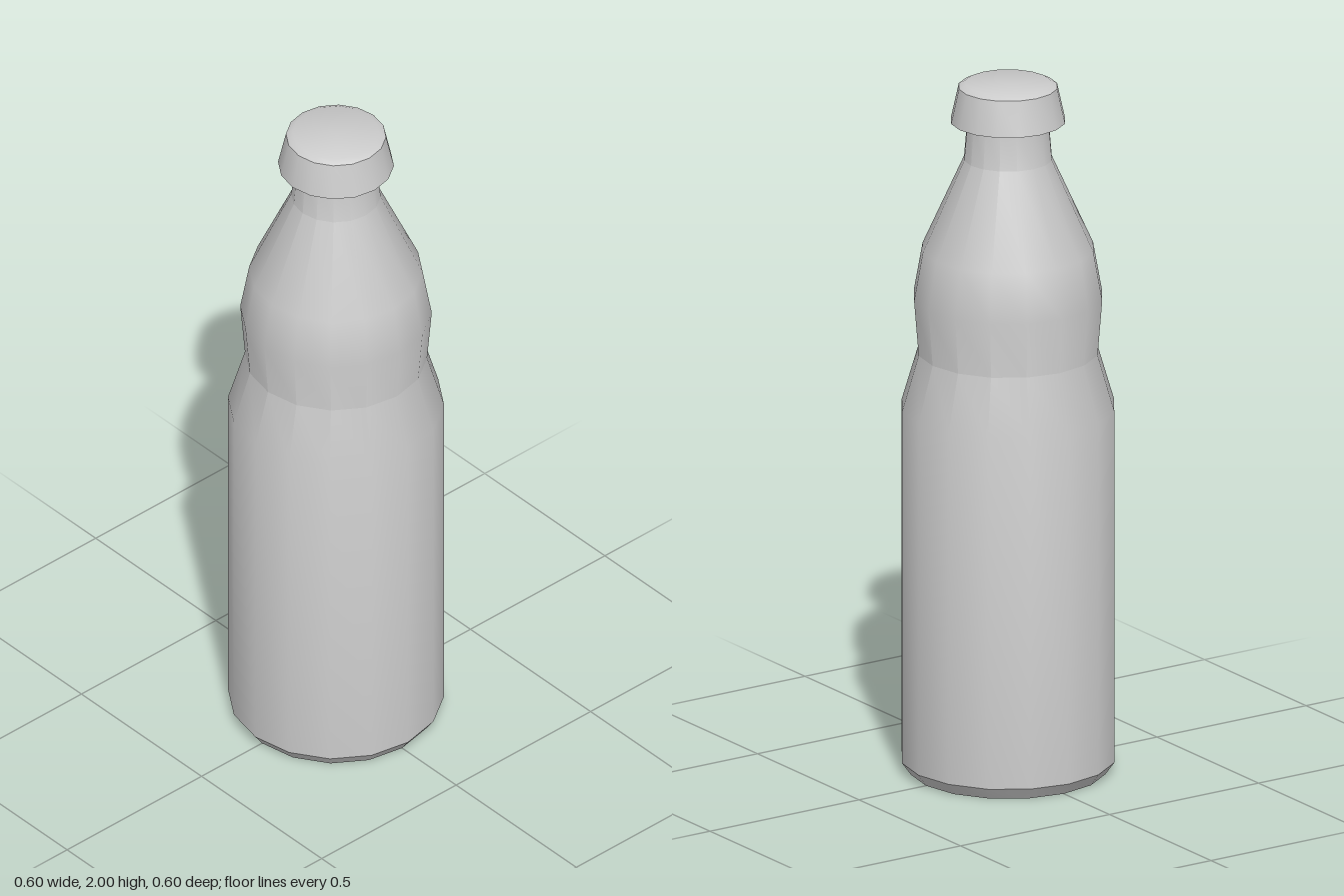
import * as THREE from 'three';
import { toCreasedNormals } from 'three/addons/utils/BufferGeometryUtils.js';

const SIDES = 16;
const CREASE = 0.5; // radians: smooth around the bottle, sharp at the rims

// Revolve a [radius, height] profile, listed from bottom to top
function turned(name, profile) {
  const points = profile.map(([r, y]) => new THREE.Vector2(r, y));
  const geometry = toCreasedNormals(new THREE.LatheGeometry(points, SIDES), CREASE);
  const mesh = new THREE.Mesh(geometry, new THREE.MeshStandardMaterial({ color: 0xcccccc }));
  mesh.name = name;
  return mesh;
}

export function createModel() {
  const bottle = new THREE.Group();
  bottle.name = 'bottle';

  // Body: flat base, chamfer, straight wall, waist, bulging shoulder, neck
  bottle.add(turned('body', [
    [0, 0],
    [0.275, 0],
    [0.3, 0.035],
    [0.3, 1.06],
    [0.253, 1.22],
    [0.266, 1.38],
    [0.241, 1.52],
    [0.124, 1.78],
    [0.114, 1.9],
  ]));

  // Cap: flared skirt with a flat underside and a slightly domed top
  bottle.add(turned('cap', [
    [0, 1.89],
    [0.161, 1.89],
    [0.139, 1.99],
    [0.12, 2],
    [0, 2],
  ]));

  return bottle;
}
